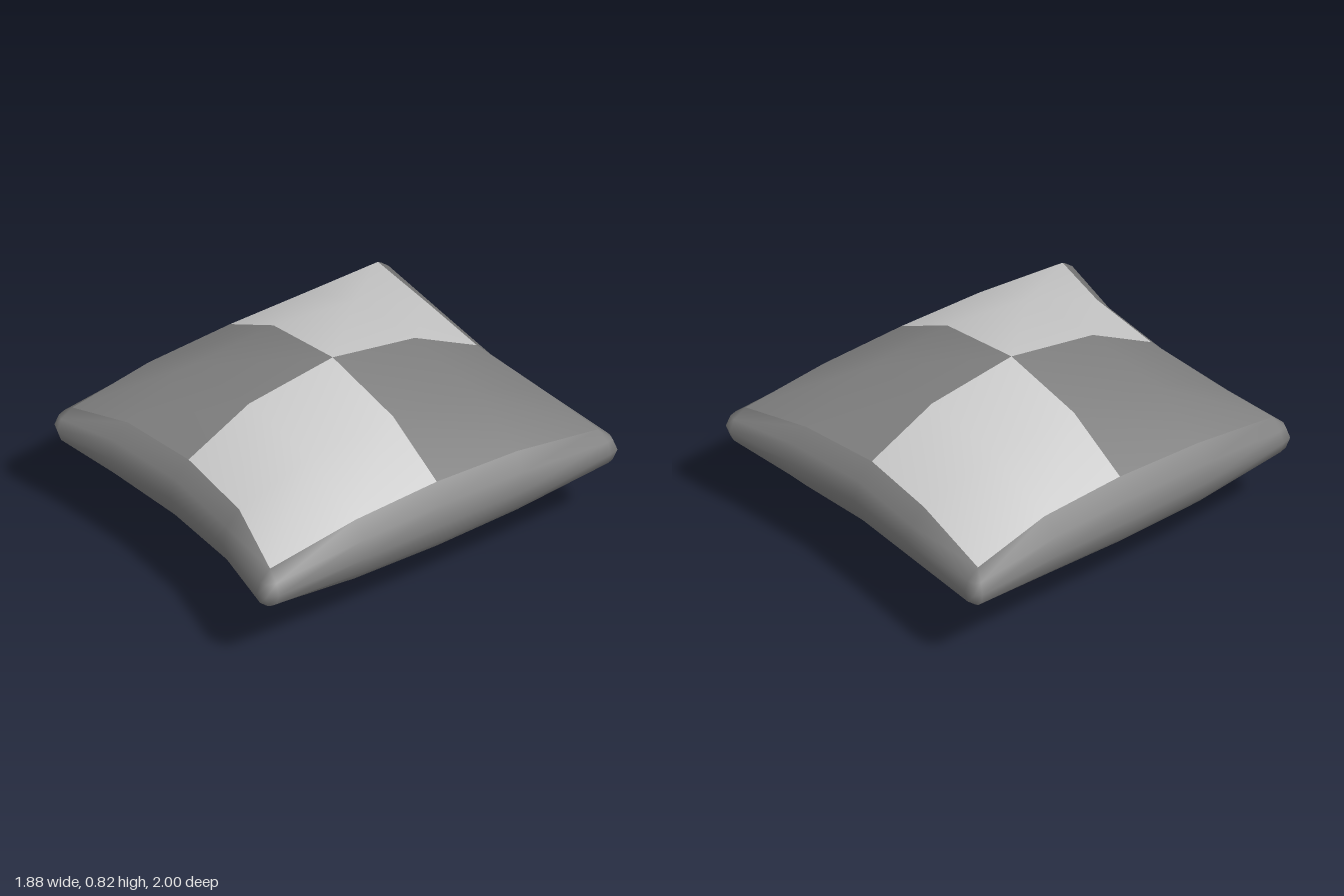
import * as THREE from 'three';
import { mergeVertices } from 'three/addons/utils/BufferGeometryUtils.js';

const MID = 0.41; // height of the seam
const light = new THREE.MeshStandardMaterial({ color: 0xcccccc });
const dark = new THREE.MeshStandardMaterial({ color: 0x808080 });

// Plan positions [x, z] of the 5 x 5 panel grid, back row first
const plan = [
  [[-0.87, -0.92], [-0.40, -0.855], [0.02, -0.82], [0.44, -0.86], [0.80, -0.92]],
  [[-0.79, -0.48], [-0.43, -0.48], [0.02, -0.48], [0.48, -0.48], [0.80, -0.48]],
  [[-0.76, -0.03], [-0.43, -0.03], [0.02, -0.03], [0.48, -0.03], [0.81, -0.03]],
  [[-0.74, 0.43], [-0.43, 0.43], [0.02, 0.43], [0.48, 0.43], [0.83, 0.43]],
  [[-0.71, 0.87], [-0.40, 0.79], [0.02, 0.76], [0.46, 0.80], [0.86, 0.92]],
];
// Height above the seam by grid distance from the centre
const rise = [[0.41, 0.34, 0.17], [0.34, 0.30, 0.155], [0.17, 0.155, 0.10]];
const riseAt = (r, c) => rise[Math.abs(r - 2)][Math.abs(c - 2)];

// Seam outline, clockwise from the back left: three corner points, then three along the side
const seam = [
  [-0.94, -0.95], [-0.925, -0.985], [-0.875, -1.0], [-0.40, -0.95], [0.02, -0.92], [0.45, -0.95],
  [0.81, -1.0], [0.86, -0.985], [0.875, -0.94], [0.89, -0.45], [0.905, -0.03], [0.92, 0.42],
  [0.94, 0.93], [0.922, 0.985], [0.87, 1.0], [0.46, 0.89], [0.02, 0.86], [-0.40, 0.89],
  [-0.72, 0.945], [-0.77, 0.925], [-0.79, 0.87], [-0.83, 0.42], [-0.865, -0.03], [-0.89, -0.45],
];
// Panel grid cells that the seam points join
const border = [];
for (let side = 0; side < 4; side++) {
  for (const k of [0, 0, 0, 1, 2, 3]) {
    border.push([[0, k], [k, 4], [4, 4 - k], [4 - k, 0]][side]);
  }
}

function smoothGeometry(positions, index) {
  let geo = new THREE.BufferGeometry();
  geo.setAttribute('position', new THREE.Float32BufferAttribute(positions, 3));
  geo.setIndex(index);
  geo = mergeVertices(geo, 1e-4);
  geo.computeVertexNormals();
  return geo;
}

// One quarter panel of the top (sign 1) or bottom (sign -1)
function panelGeometry(r0, c0, sign) {
  const positions = [], index = [];
  for (let r = 0; r < 3; r++) {
    for (let c = 0; c < 3; c++) {
      const [x, z] = plan[r0 + r][c0 + c];
      positions.push(x, MID + sign * riseAt(r0 + r, c0 + c), z);
    }
  }
  for (let r = 0; r < 2; r++) {
    for (let c = 0; c < 2; c++) {
      const a = r * 3 + c, b = a + 1, e = a + 4, d = a + 3;
      // Diagonals run from the centre towards the corners
      const tris = r0 === c0 ? [[a, d, e], [a, e, b]] : [[a, d, b], [b, d, e]];
      for (const t of tris) index.push(...(sign > 0 ? t : t.reverse()));
    }
  }
  return smoothGeometry(positions, index);
}

// Rounded band from the top panels around the seam to the bottom panels
function rimGeometry() {
  const levels = [[0, 1], [0.75, 0.55], [1, 0], [0.75, -0.55], [0, -1]]; // outwards, height
  const n = seam.length, positions = [], index = [];
  for (const [out, up] of levels) {
    seam.forEach(([sx, sz], i) => {
      const [r, c] = border[i];
      const [x, z] = plan[r][c];
      positions.push(x + (sx - x) * out, MID + riseAt(r, c) * up, z + (sz - z) * out);
    });
  }
  for (let l = 0; l < levels.length - 1; l++) {
    for (let i = 0; i < n; i++) {
      const j = (i + 1) % n;
      const a = l * n + i, b = l * n + j, c = b + n, d = a + n;
      index.push(a, b, c, a, c, d);
    }
  }
  return smoothGeometry(positions, index);
}

export function createModel() {
  const cushion = new THREE.Group();
  cushion.name = 'cushion';

  const rim = new THREE.Mesh(rimGeometry(), dark);
  rim.name = 'rim';
  cushion.add(rim);

  // Chequered quarters, with the pattern swapped underneath
  for (const sign of [1, -1]) {
    for (const r0 of [0, 2]) {
      for (const c0 of [0, 2]) {
        const isLight = (r0 === c0) === (sign > 0);
        const panel = new THREE.Mesh(panelGeometry(r0, c0, sign), isLight ? light : dark);
        panel.name = `${sign > 0 ? 'top' : 'bottom'}${r0 ? 'Front' : 'Back'}${c0 ? 'Left' : 'Right'}Panel`;
        cushion.add(panel);
      }
    }
  }
  return cushion;
}
